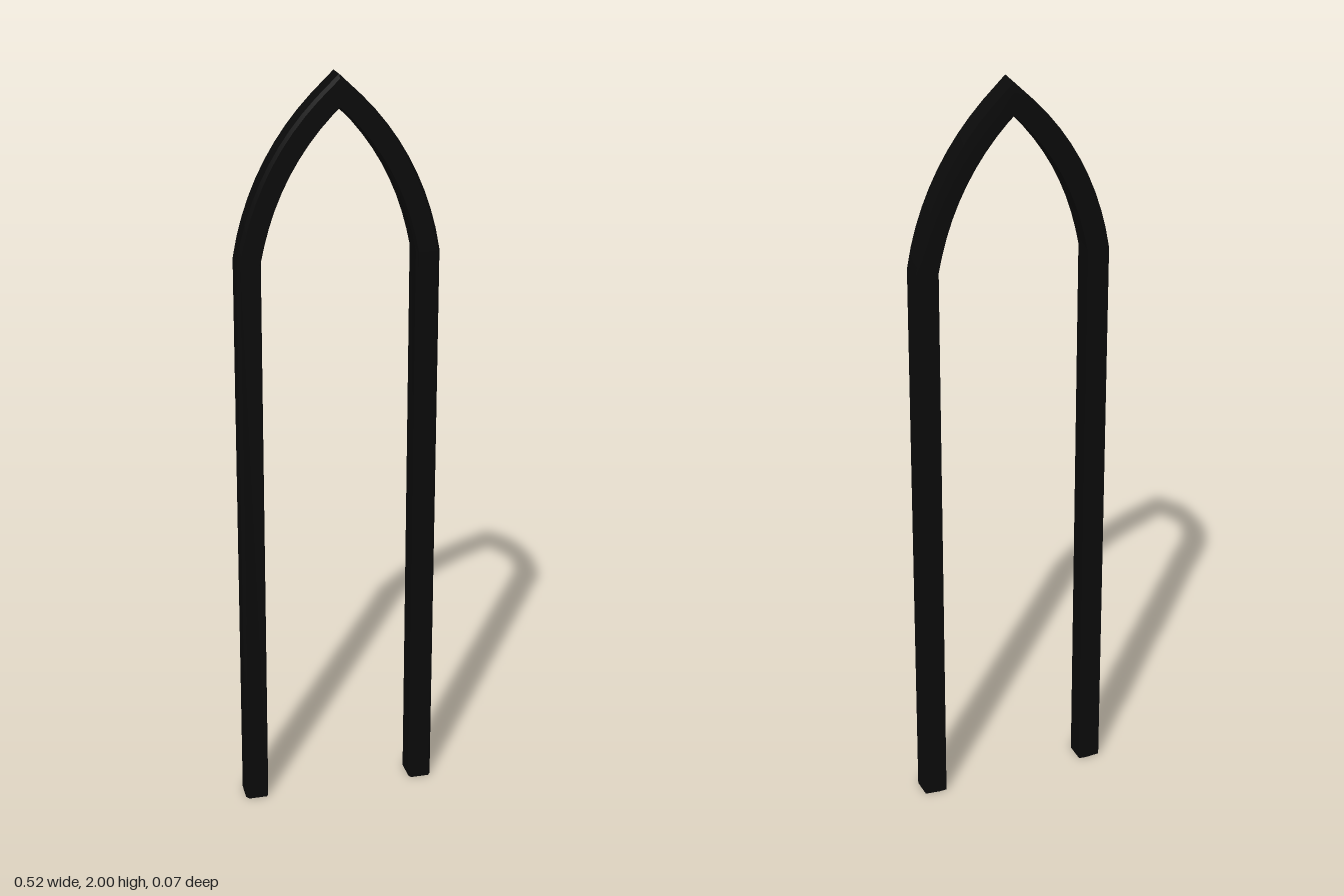
import * as THREE from 'three';
import { toCreasedNormals } from 'three/addons/utils/BufferGeometryUtils.js';

// Moulding section: [offset outward, z], with a chamfered front and slightly ridged back
const SECTION = [
  [-0.025, 0.034], [0.025, 0.034], [0.032, 0.023], [0.03, -0.033],
  [-0.01, -0.037], [-0.03, -0.035], [-0.03, 0.023],
];

// Stations along the centre line: position and outward direction
function archStations(segments) {
  const curve = new THREE.QuadraticBezierCurve(
    new THREE.Vector2(0.23, 1.535), new THREE.Vector2(0.185, 1.79), new THREE.Vector2(0, 1.955));
  const half = [{ x: 0.23, y: 0, nx: 1, ny: 0 }];
  for (let i = 0; i < segments; i++) {
    const p = curve.getPoint(i / segments);
    const t = curve.getTangent(i / segments);
    // the springing point is mitred level with the post
    half.push({ x: p.x, y: p.y, nx: i ? t.y : 1, ny: i ? -t.x : 0 });
  }
  const apex = { x: 0, y: 1.955, nx: 0, ny: 1.41 };
  const mirrored = half.map((s) => ({ ...s, x: -s.x, nx: -s.nx })).reverse();
  return [...half, apex, ...mirrored];
}

// Sweep the section along the stations and cap both feet
function sweep(stations, section) {
  const n = section.length;
  const positions = [];
  const index = [];
  for (const s of stations) {
    for (const [o, z] of section) positions.push(s.x + s.nx * o, s.y + s.ny * o, z);
  }
  for (let i = 0; i < stations.length - 1; i++) {
    for (let j = 0; j < n; j++) {
      const a = i * n + j, b = i * n + (j + 1) % n;
      index.push(a, b, a + n, b, b + n, a + n);
    }
  }
  const last = (stations.length - 1) * n;
  for (let j = 1; j < n - 1; j++) {
    index.push(0, j + 1, j, last, last + j, last + j + 1);
  }
  const geometry = new THREE.BufferGeometry();
  geometry.setAttribute('position', new THREE.Float32BufferAttribute(positions, 3));
  geometry.setIndex(index);
  return toCreasedNormals(geometry, 0.35);
}

export function createModel() {
  const group = new THREE.Group();
  group.name = 'pointedArch';
  const material = new THREE.MeshStandardMaterial({ color: 0x0a0a0a });

  // Two posts and the pointed arch in one continuous moulding
  const frame = new THREE.Mesh(sweep(archStations(10), SECTION), material);
  frame.name = 'archFrame';
  group.add(frame);
  return group;
}
